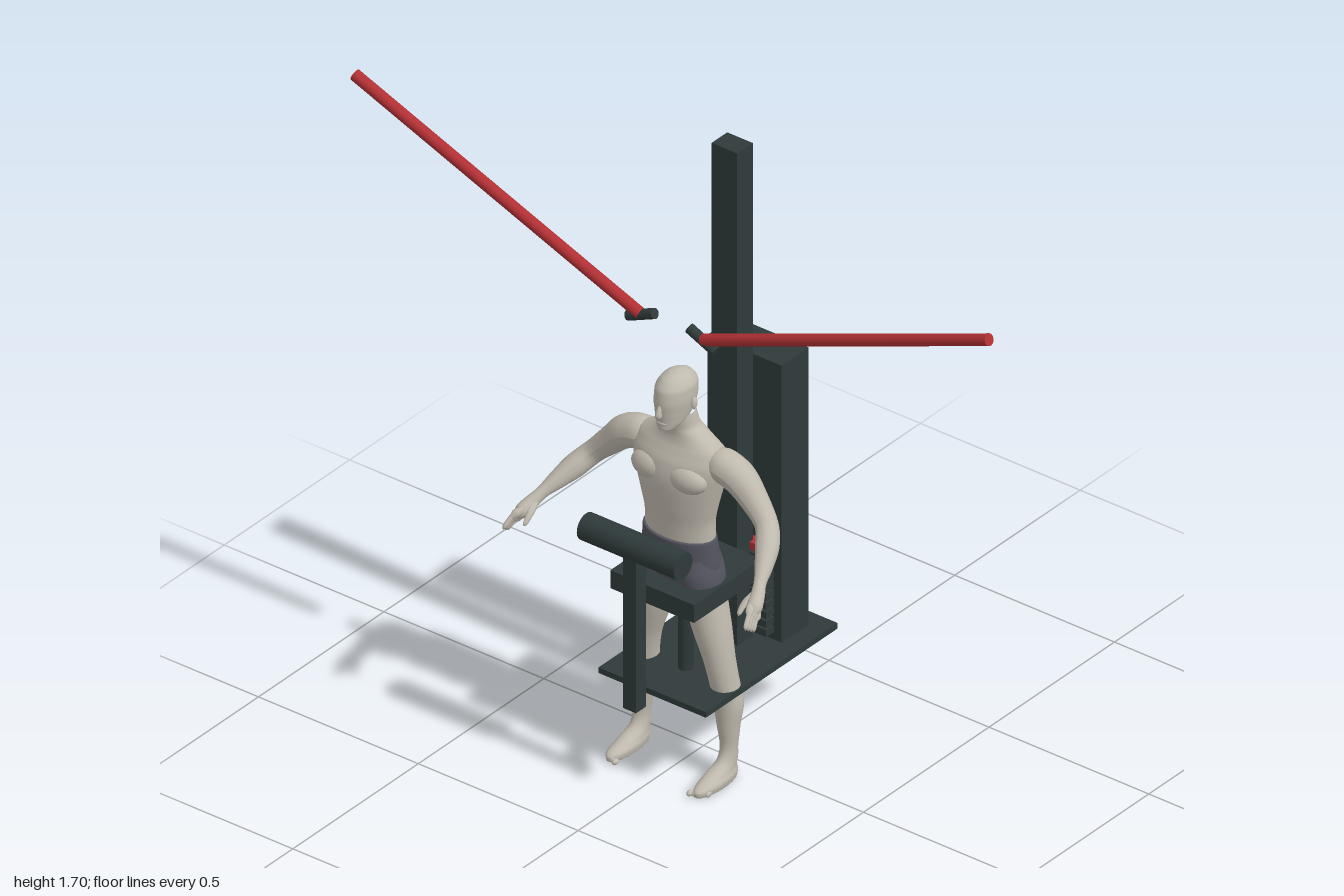
import * as THREE from 'three';

const mat = (name, color, opts = {}) => {
  const m = new THREE.MeshStandardMaterial({ color, ...opts });
  m.name = name;
  return m;
};

// Skin a grid of rings; each ring is an array of Vector3 with the seam repeated
function skin(rings) {
  const n = rings[0].length, pos = [], idx = [];
  rings.forEach(r => r.forEach(p => pos.push(p.x, p.y, p.z)));
  for (let i = 0; i < rings.length - 1; i++)
    for (let j = 0; j < n - 1; j++) {
      const a = i * n + j, b = a + n;
      idx.push(a, b, a + 1, b, b + 1, a + 1);
    }
  const g = new THREE.BufferGeometry();
  g.setAttribute('position', new THREE.Float32BufferAttribute(pos, 3));
  g.setIndex(idx);
  g.computeVertexNormals();
  return g;
}

// Level elliptical sections, bottom to top: [x, y, z, half width, half depth]
function stack(sections, side = 1, steps = 5, n = 28) {
  const c = new THREE.CatmullRomCurve3(sections.map(s => new THREE.Vector3(s[0] * side, s[1], s[2])));
  const r = new THREE.CatmullRomCurve3(sections.map(s => new THREE.Vector3(s[3], s[4], 0)));
  const rings = [], count = (sections.length - 1) * steps;
  for (let i = 0; i <= count; i++) {
    const p = c.getPoint(i / count), q = r.getPoint(i / count), ring = [];
    for (let j = 0; j <= n; j++) {
      const a = (j % n) / n * Math.PI * 2;
      ring.push(new THREE.Vector3(p.x + Math.max(q.x, 0.0005) * Math.cos(a), p.y,
        p.z + Math.max(q.y, 0.0005) * Math.sin(a)));
    }
    rings.push(ring);
  }
  return skin(rings);
}

// Tapered limb along a path: [x, y, z, radius]
function limb(points, side = 1, steps = 5, n = 16) {
  const c = new THREE.CatmullRomCurve3(points.map(p => new THREE.Vector3(p[0] * side, p[1], p[2])));
  const r = new THREE.CatmullRomCurve3(points.map(p => new THREE.Vector3(p[3], 0, 0)));
  const count = (points.length - 1) * steps, rings = [];
  let normal = new THREE.Vector3(0, 0, 1);
  for (let i = 0; i <= count; i++) {
    const p = c.getPoint(i / count), t = c.getTangent(i / count);
    const rad = Math.max(r.getPoint(i / count).x, 0.0005);
    normal = normal.clone().addScaledVector(t, -normal.dot(t)).normalize();
    const b = new THREE.Vector3().crossVectors(t, normal), ring = [];
    for (let j = 0; j <= n; j++) {
      const a = (j % n) / n * Math.PI * 2;
      ring.push(p.clone().addScaledVector(normal, rad * Math.cos(a)).addScaledVector(b, -rad * Math.sin(a)));
    }
    rings.push(ring);
  }
  return skin(rings);
}

export function createModel() {
  const root = new THREE.Group();
  root.name = 'cableMachineWithFigure';
  const metal = mat('dark metal', 0x2f3a3a);
  const red = mat('red', 0xb23034);
  const skinMat = mat('skin', 0xc0baae);
  const cloth = mat('shorts cloth', 0x54545f);

  const machine = new THREE.Group(), figure = new THREE.Group();
  machine.name = 'machine';
  figure.name = 'figure';
  root.add(machine, figure);

  const add = (parent, name, geo, m) => {
    const mesh = new THREE.Mesh(geo, m);
    mesh.name = name;
    parent.add(mesh);
    return mesh;
  };
  // Box from its limits
  const box = (name, x, y0, y1, z0, z1, m = metal) =>
    add(machine, name, new THREE.BoxGeometry(2 * x, y1 - y0, z1 - z0), m)
      .position.set(0, (y0 + y1) / 2, (z0 + z1) / 2);
  // Cylinder between two points
  const rod = (name, a, b, r, m = metal) => {
    const p = new THREE.Vector3(...a), q = new THREE.Vector3(...b), d = q.clone().sub(p);
    const mesh = add(machine, name, new THREE.CylinderGeometry(r, r, d.length(), 24), m);
    mesh.position.copy(p).add(q).multiplyScalar(0.5);
    mesh.quaternion.setFromUnitVectors(new THREE.Vector3(0, 1, 0), d.normalize());
  };

  // Frame
  box('basePlate', 0.168, 0.247, 0.263, -0.32, 0.205);
  box('column', 0.04, 0.255, 1.695, -0.145, -0.083);
  box('stackHousing', 0.116, 0.255, 1.068, -0.271, -0.163);
  box('seat', 0.131, 0.508, 0.56, -0.067, 0.205);
  rod('seatPost', [0, 0.255, 0.07], [0, 0.51, 0.07], 0.02);

  // Weight stack
  for (let i = 0; i < 9; i++) {
    const y = 0.285 + i * 0.026;
    box('weightPlate', 0.092, y, y + 0.02, -0.163, -0.132);
  }
  box('topWeightPlate', 0.09, 0.521, 0.542, -0.165, -0.132, red);

  // Front pad
  box('padPost', 0.02, 0.247, 0.715, 0.256, 0.295);
  rod('rollerPad', [-0.152, 0.715, 0.275], [0.152, 0.715, 0.275], 0.037);

  // Raised arms and grips
  for (const s of [-1, 1]) {
    rod('pullArm', [s * 0.098, 1.279, 0.126], [s * 0.992, 1.627, 0.126], 0.016, red);
    rod('grip', [s * 0.054, 1.297, 0.126], [s * 0.137, 1.26, 0.126], 0.014);
  }

  // Torso and neck
  add(figure, 'torso', stack([
    [0, 0.64, 0.09, 0.1, 0.06], [0, 0.72, 0.093, 0.1, 0.062], [0, 0.78, 0.094, 0.112, 0.069],
    [0, 0.85, 0.092, 0.13, 0.076], [0, 0.9, 0.088, 0.142, 0.07], [0, 0.935, 0.084, 0.132, 0.056],
    [0, 0.965, 0.083, 0.082, 0.047], [0, 0.99, 0.088, 0.048, 0.044], [0, 1.03, 0.097, 0.04, 0.044],
  ]), skinMat);

  // Head
  add(figure, 'head', stack([
    [0, 0.992, 0.146, 0.003, 0.004], [0, 1.0, 0.143, 0.022, 0.027], [0, 1.018, 0.125, 0.035, 0.047],
    [0, 1.045, 0.115, 0.042, 0.06], [0, 1.08, 0.11, 0.047, 0.067], [0, 1.11, 0.108, 0.046, 0.064],
    [0, 1.132, 0.106, 0.034, 0.047], [0, 1.143, 0.105, 0.017, 0.024], [0, 1.146, 0.105, 0.001, 0.001],
  ]), skinMat);
  add(figure, 'nose', limb([[0, 1.078, 0.17, 0.004], [0, 1.06, 0.178, 0.007],
    [0, 1.046, 0.18, 0.009], [0, 1.038, 0.172, 0.001]]), skinMat);
  const ball = (name, x, y, z, sx, sy, sz) => {
    const m = add(figure, name, new THREE.SphereGeometry(1, 16, 12), skinMat);
    m.position.set(x, y, z);
    m.scale.set(sx, sy, sz);
  };
  ball('lips', 0, 1.02, 0.166, 0.015, 0.006, 0.008);

  // Shorts
  add(figure, 'shorts', stack([
    [0, 0.535, 0.09, 0.03, 0.03], [0, 0.56, 0.09, 0.085, 0.06], [0, 0.6, 0.089, 0.113, 0.069],
    [0, 0.64, 0.091, 0.109, 0.067], [0, 0.68, 0.094, 0.104, 0.066], [0, 0.681, 0.094, 0.095, 0.058],
  ]), cloth);

  for (const s of [-1, 1]) {
    ball('ear', s * 0.048, 1.062, 0.098, 0.006, 0.017, 0.01);
    ball('pectoral', s * 0.055, 0.865, 0.135, 0.06, 0.04, 0.036);
    ball('shoulderBlade', s * 0.065, 0.865, 0.045, 0.05, 0.06, 0.032);

    add(figure, 'shortsLeg', stack([
      [0.07, 0.529, 0.088, 0.045, 0.05], [0.068, 0.53, 0.088, 0.057, 0.059],
      [0.062, 0.58, 0.09, 0.056, 0.066], [0.055, 0.63, 0.09, 0.048, 0.058],
    ], s), cloth);

    // Leg with foot
    add(figure, 'leg', stack([
      [0.137, 0.001, 0.127, 0.002, 0.002], [0.137, 0.002, 0.127, 0.026, 0.079],
      [0.137, 0.016, 0.126, 0.029, 0.081], [0.136, 0.034, 0.108, 0.025, 0.06],
      [0.136, 0.056, 0.08, 0.021, 0.035], [0.136, 0.09, 0.072, 0.021, 0.026],
      [0.134, 0.15, 0.071, 0.029, 0.031], [0.131, 0.215, 0.068, 0.038, 0.039],
      [0.124, 0.28, 0.077, 0.037, 0.04], [0.114, 0.34, 0.083, 0.04, 0.042],
      [0.092, 0.43, 0.086, 0.05, 0.052], [0.073, 0.52, 0.088, 0.053, 0.057], [0.064, 0.58, 0.09, 0.05, 0.06],
    ], s), skinMat);
    for (let i = 0; i < 5; i++)
      ball('toe', s * (0.117 + i * 0.01), 0.008, 0.203 - i * 0.006, i ? 0.005 : 0.008, 0.008, 0.011);

    // Arm
    add(figure, 'arm', limb([
      [0.085, 0.91, 0.084, 0.03], [0.13, 0.905, 0.083, 0.045], [0.175, 0.888, 0.082, 0.044],
      [0.225, 0.842, 0.084, 0.036], [0.272, 0.795, 0.096, 0.03], [0.298, 0.765, 0.125, 0.031],
      [0.325, 0.73, 0.175, 0.023], [0.342, 0.706, 0.212, 0.016], [0.352, 0.69, 0.232, 0.018],
      [0.362, 0.672, 0.257, 0.02], [0.369, 0.66, 0.272, 0.012], [0.371, 0.656, 0.276, 0.001],
    ], s), skinMat);

    // Fingers and thumb
    for (let i = 0; i < 4; i++) {
      const u = i / 3;
      add(figure, 'finger', limb([
        [0.355 + u * 0.012, 0.682 - u * 0.024, 0.262 - u * 0.014, 0.007],
        [0.37 + u * 0.007, 0.666 - u * 0.02, 0.29 - u * 0.016, 0.007],
        [0.377 + u * 0.006, 0.645 - u * 0.016, 0.312 - u * 0.024, 0.006],
        [0.379 + u * 0.005, 0.637 - u * 0.016, 0.316 - u * 0.026, 0.001],
      ], s, 4, 8), skinMat);
    }
    add(figure, 'thumb', limb([
      [0.345, 0.69, 0.232, 0.011], [0.336, 0.675, 0.262, 0.009],
      [0.335, 0.655, 0.285, 0.006], [0.336, 0.65, 0.289, 0.001],
    ], s, 4, 8), skinMat);
  }
  return root;
}
